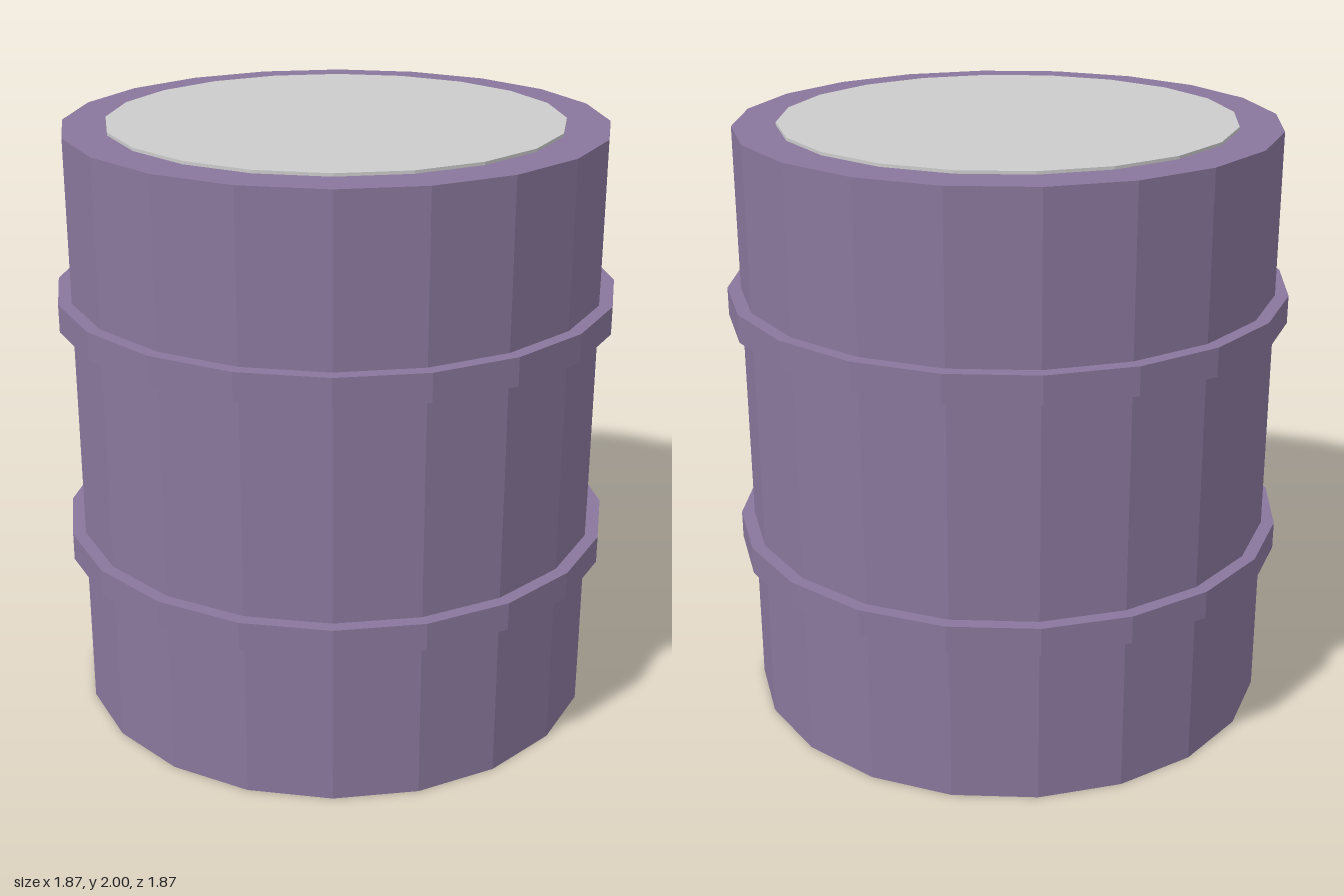
import * as THREE from 'three';

const SIDES = 20;

export function createModel() {
  const group = new THREE.Group();
  const paint = new THREE.MeshStandardMaterial({ color: 0x89779c, flatShading: true });
  const grey = new THREE.MeshStandardMaterial({ color: 0xcccccc, flatShading: true });

  // Closed faceted drum section between two heights
  const drum = (name, radius, bottom, top, material) => {
    const height = top - bottom;
    const mesh = new THREE.Mesh(new THREE.CylinderGeometry(radius, radius, height, SIDES), material);
    mesh.position.y = bottom + height / 2;
    mesh.name = name;
    group.add(mesh);
  };

  // Barrel body
  drum('body', 0.889, 0, 1.99, paint);

  // Raised hoops around the body
  drum('lowerHoop', 0.933, 0.542, 0.635, paint);
  drum('upperHoop', 0.933, 1.36, 1.453, paint);

  // Thin lid plate on top
  drum('lid', 0.747, 1.98, 2, grey);

  return group;
}
